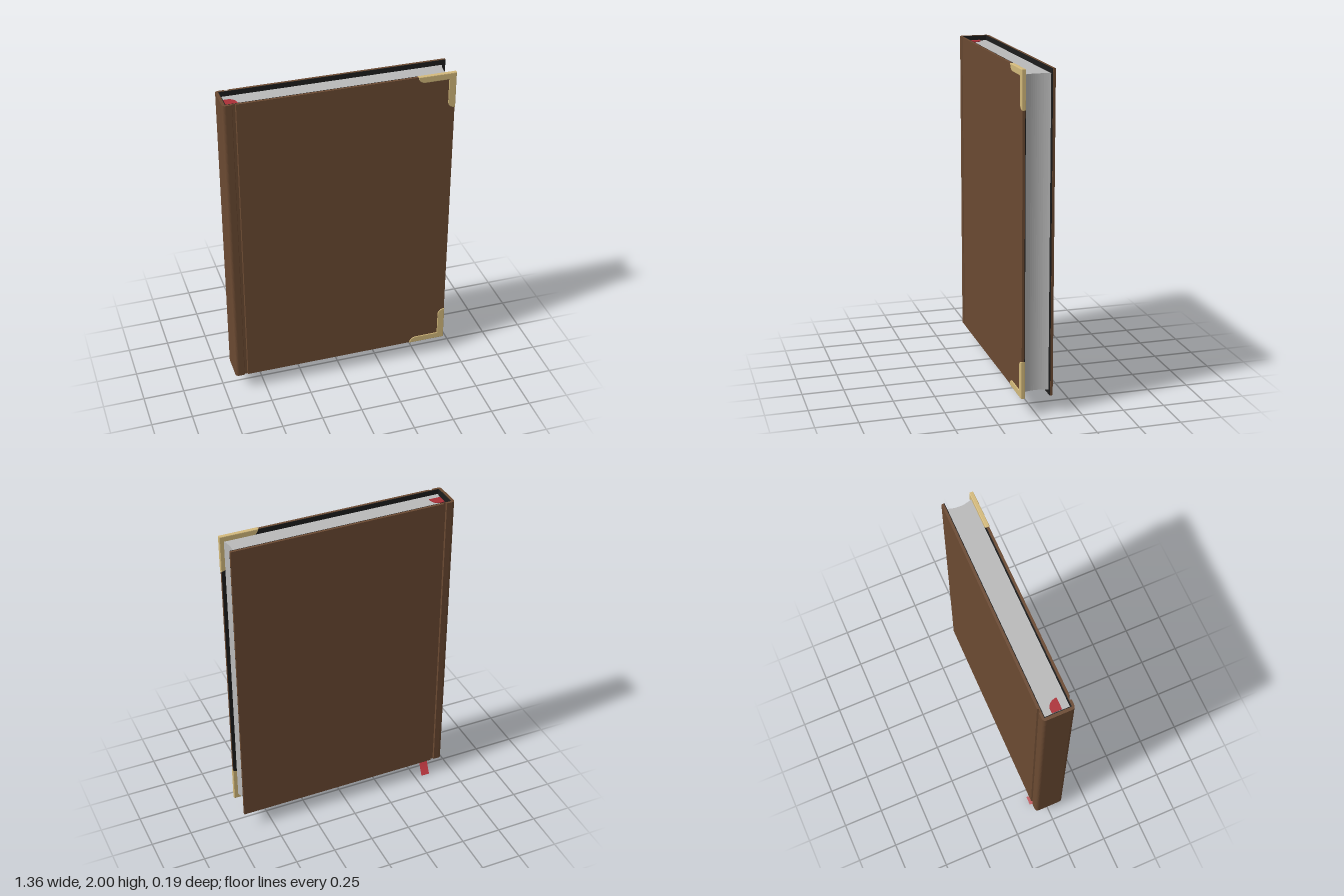
import * as THREE from 'three';

const mat = (name, color, side = THREE.FrontSide) => {
  const m = new THREE.MeshStandardMaterial({ color, side });
  m.name = name;
  return m;
};

// Extrude an (x, z) outline upward from y0 to y1
function upright(points, y0, y1) {
  const shape = new THREE.Shape(points.map(([x, z]) => new THREE.Vector2(x, -z)));
  const geo = new THREE.ExtrudeGeometry(shape, { depth: y1 - y0, bevelEnabled: false });
  return geo.rotateX(-Math.PI / 2).translate(0, y0, 0);
}

// Close a half outline by mirroring it in z
const mirrored = half => [...half, ...half.map(([x, z]) => [x, -z]).reverse()];

export function createModel() {
  const book = new THREE.Group();
  book.name = 'book';
  const leather = mat('brown leather', 0x6b4a32);
  const black = mat('black lining', 0x1c1c1c);
  const paper = mat('paper', 0xbababa);
  const brass = mat('brass', 0xd4ba7c);
  const red = mat('red ribbon', 0xac3038, THREE.DoubleSide);

  const add = (name, geo, material, parent = book) => {
    const mesh = new THREE.Mesh(geo, material);
    mesh.name = name;
    parent.add(mesh);
    return mesh;
  };

  // Cover: C-shaped section with rounded spine corners and hinge grooves
  const R = 0.02, left = -0.683, right = 0.677, out = 0.093;
  const half = [[left + 0.018, 0.078], [right, 0.078], [right, out],
    [-0.606, out], [-0.61, out - 0.009], [-0.626, out - 0.009], [-0.63, out]];
  for (let i = 0; i <= 6; i++) {
    const a = Math.PI / 2 * (1 + i / 6);
    half.push([left + R + R * Math.cos(a), out - R + R * Math.sin(a)]);
  }
  add('cover', upright(mirrored(half), 0.112, 1.998), leather);

  // Lining inside the boards and the spine
  add('lining', upright(mirrored([[-0.661, 0.074], [0.676, 0.074], [0.676, 0.0785], [-0.666, 0.0785]]),
    0.1125, 1.9975), black);

  // Page block with hollowed fore edge and back
  const pages = [];
  const N = 12;
  for (let i = 0; i <= N; i++) {
    const t = 1 - 2 * i / N;
    pages.push([0.64 + 0.015 * t * t, 0.074 * t]);
  }
  for (let i = 0; i <= N; i++) {
    const t = 2 * i / N - 1;
    pages.push([-0.65 - 0.009 * t * t, 0.074 * t]);
  }
  add('pages', upright(pages, 0.14, 1.968), paper);

  // Brass corners: bevelled L shapes around the front board
  const cornerShape = new THREE.Shape();
  cornerShape.moveTo(0, 0);
  cornerShape.lineTo(-0.226, 0);
  cornerShape.bezierCurveTo(-0.222, -0.025, -0.205, -0.036, -0.18, -0.036);
  cornerShape.lineTo(-0.04, -0.036);
  cornerShape.lineTo(-0.04, -0.18);
  cornerShape.bezierCurveTo(-0.04, -0.205, -0.025, -0.218, 0, -0.22);
  cornerShape.closePath();
  const cornerGeo = new THREE.ExtrudeGeometry(cornerShape, {
    depth: 0.018, bevelEnabled: true, bevelThickness: 0.003, bevelSize: 0.004,
    bevelOffset: -0.002, bevelSegments: 2, curveSegments: 8,
  });
  const top = add('topCorner', cornerGeo, brass);
  top.position.set(0.678, 1.998, 0.0765);
  const bottom = add('bottomCorner', cornerGeo, brass);
  bottom.position.set(0.678, 0.112, 0.0765);
  bottom.scale.y = -1;

  // Ribbon tail: a strip curling back below the pages
  const path = new THREE.CatmullRomCurve3([
    [-0.607, 0.145, 0.034], [-0.607, 0.11, 0.028], [-0.6, 0.06, 0.002],
    [-0.587, 0.022, -0.045], [-0.572, 0.001, -0.097],
  ].map(p => new THREE.Vector3(...p)));
  const tail = new THREE.PlaneGeometry(0.055, 1, 1, 20);
  const pos = tail.attributes.position;
  for (let i = 0; i < pos.count; i++) {
    const p = path.getPoint(0.5 - pos.getY(i));
    pos.setXYZ(i, p.x + pos.getX(i), p.y, p.z);
  }
  tail.computeVertexNormals();
  add('ribbonTail', tail, red);

  // Ribbon end lying on top of the pages beside the spine
  const head = new THREE.Shape();
  head.moveTo(-0.65, -0.03);
  head.lineTo(-0.58, -0.03);
  head.bezierCurveTo(-0.582, 0.005, -0.6, 0.027, -0.63, 0.028);
  head.lineTo(-0.65, 0.027);
  head.closePath();
  const headGeo = new THREE.ExtrudeGeometry(head, { depth: 0.006, bevelEnabled: false });
  add('ribbonHead', headGeo.rotateX(-Math.PI / 2).translate(0, 1.967, 0), red);

  return book;
}
